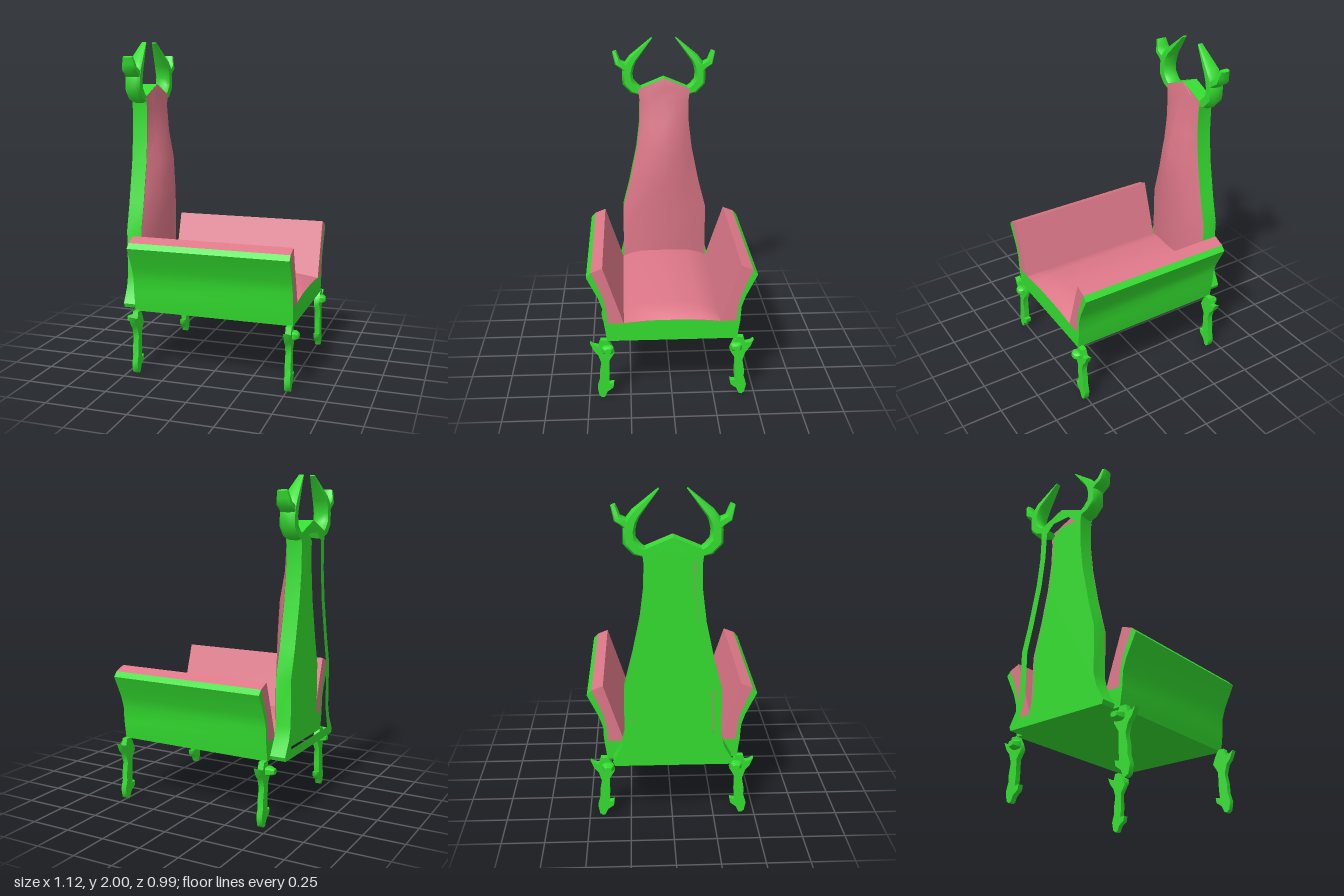
import * as THREE from 'three';
import { toCreasedNormals } from 'three/addons/utils/BufferGeometryUtils.js';

const green = new THREE.MeshStandardMaterial({ color: 0x33dd2f });
const pink = new THREE.MeshStandardMaterial({ color: 0xdd7788 });

function add(group, name, geometry, material, crease = 0.7) {
  const mesh = new THREE.Mesh(toCreasedNormals(geometry, crease), material);
  mesh.name = name;
  group.add(mesh);
}

// Extrudes a [z, y] outline along x from x0 to x1; side mirrors it in z.
function slab(outline, x0, x1, side = 1, hole = null) {
  const toPoints = pts => pts.map(([z, y]) => new THREE.Vector2(-z * side, y));
  const shape = new THREE.Shape(toPoints(outline));
  if (hole) shape.holes.push(new THREE.Path(toPoints(hole)));
  const geo = new THREE.ExtrudeGeometry(shape, { depth: x1 - x0, bevelEnabled: false });
  return geo.rotateY(Math.PI / 2).translate(x0, 0, 0);
}

// Skins closed rings of [x, y, z] points, caps both ends and faces them outward.
function loft(rings) {
  const n = rings[0].length, last = (rings.length - 1) * n;
  const pts = rings.flat().map(p => new THREE.Vector3(...p));
  const index = [];
  for (let r = 0; r < rings.length - 1; r++) {
    for (let i = 0; i < n; i++) {
      const a = r * n + i, b = r * n + (i + 1) % n;
      index.push(a, b, a + n, b, b + n, a + n);
    }
  }
  for (const start of [0, last]) {
    const centre = new THREE.Vector3();
    for (let i = 0; i < n; i++) centre.addScaledVector(pts[start + i], 1 / n);
    const c = pts.push(centre) - 1;
    for (let i = 0; i < n; i++) {
      const a = start + i, b = start + (i + 1) % n;
      index.push(c, ...(start === 0 ? [b, a] : [a, b]));
    }
  }
  let volume = 0;
  for (let i = 0; i < index.length; i += 3) {
    const [a, b, c] = [0, 1, 2].map(k => pts[index[i + k]]);
    volume += a.dot(b.clone().cross(c));
  }
  if (volume < 0) index.reverse();
  const geo = new THREE.BufferGeometry().setFromPoints(pts);
  geo.setIndex(index);
  return geo;
}

// Tapering branch in the zy plane: rows of [z, y, half width, half depth in x].
function branch(rows, x, side) {
  return loft(rows.map(([z, y, w, d], i) => {
    const p = rows[Math.max(i - 1, 0)], q = rows[Math.min(i + 1, rows.length - 1)];
    const len = Math.hypot(q[0] - p[0], q[1] - p[1]);
    const nz = -(q[1] - p[1]) / len, ny = (q[0] - p[0]) / len;
    return [[1, 0.5], [0.6, 1], [-0.6, 1], [-1, 0.5], [-1, -0.5], [-0.6, -1], [0.6, -1], [1, -0.5]]
      .map(([a, b]) => [x + b * d, y + a * w * ny, side * (z + a * w * nz)]);
  }));
}

// Joins a half outline to its mirror image.
const mirrored = half => [...half, ...half.map(([z, y]) => [-z, y]).reverse()];

export function createModel() {
  const model = new THREE.Group();
  model.name = 'armchair';
  const backX = -0.56, seatX = -0.465, frontX = 0.525;

  // Seat frame with flared sides
  add(model, 'seatFrame', slab(mirrored([
    [0.385, 0.385], [0.402, 0.5], [0.407, 0.59], [0.43, 0.66], [0.497, 0.796], [0.47, 0.826],
    [0.405, 0.67], [0.387, 0.59], [0.38, 0.5], [0.28, 0.5], [0.1, 0.515],
  ]), seatX, frontX), green);

  // Domed seat cushion, rolling down at the front edge
  const dome = [[-0.285, 0], [-0.24, 0.4], [-0.16, 0.83], [0, 1], [0.16, 0.83], [0.24, 0.4], [0.285, 0]];
  add(model, 'seatCushion', loft([[seatX, 0.07], [0.38, 0.07], [0.46, 0.058], [frontX, 0.016]].map(([x, h]) => [
    ...dome.map(([z, k]) => [x, 0.5 + h * k, z]), [x, 0.49, 0.285], [x, 0.49, -0.285],
  ])), pink, 0.9);

  // Back frame with a recessed rear panel
  const outline = [
    [0.34, 0.385], [0.35, 0.41], [0.3, 0.5], [0.28, 0.58], [0.28, 0.86], [0.238, 1.02],
    [0.185, 1.27], [0.163, 1.45], [0.16, 1.6], [0.17, 1.675], [0, 1.745],
  ];
  const inner = [
    [0.27, 0.44], [0.235, 0.58], [0.235, 0.85], [0.195, 1.01],
    [0.142, 1.26], [0.12, 1.45], [0.115, 1.62], [0.06, 1.67],
  ];
  const ring = [...outline, ...outline.slice(0, -1).map(([z, y]) => [-z, y]).reverse()];
  add(model, 'backFrame', slab(ring, backX, seatX, 1, mirrored(inner)), green);
  add(model, 'backPanel', slab(mirrored(inner), -0.5, seatX, 1), green);

  // Bulging back cushion: [y, half width, bulge]
  const sections = [
    [0.5, 0.28, 0.06], [0.68, 0.28, 0.07], [0.86, 0.28, 0.077], [1.07, 0.227, 0.092], [1.28, 0.184, 0.092],
    [1.45, 0.163, 0.055], [1.6, 0.16, 0.018], [1.675, 0.17, 0.008], [1.745, 0.004, 0.002],
  ];
  add(model, 'backCushion', loft(sections.map(([y, w, b]) =>
    [[-1, 0], [-0.6, 0.67], [0, 1], [0.6, 0.67], [1, 0]].map(([k, f]) => [seatX + 0.002 + b * f, y, w * k])
  )), pink, 0.6);

  const leg = [
    [0.487, 0.37], [0.465, 0.32], [0.44, 0.29], [0.423, 0.235], [0.434, 0.17], [0.434, 0.12],
    [0.45, 0.066], [0.44, 0.013], [0.423, 0], [0.407, 0.003], [0.39, 0.04], [0.355, 0.066],
    [0.35, 0.098], [0.38, 0.093], [0.376, 0.145], [0.376, 0.25], [0.344, 0.304], [0.36, 0.347],
    [0.385, 0.39], [0.425, 0.39], [0.437, 0.35], [0.465, 0.355],
  ];

  for (const side of [1, -1]) {
    const label = side > 0 ? 'left' : 'right';

    // Slanted padded arm
    add(model, label + 'ArmPad', slab([
      [0.47, 0.826], [0.402, 0.853], [0.285, 0.5], [0.38, 0.5], [0.387, 0.59], [0.405, 0.67],
    ], seatX, frontX, side), pink);

    // Horn with a side prong
    const hornX = -0.513;
    add(model, label + 'Horn', branch([
      [0.14, 1.65, 0.02, 0.047], [0.195, 1.675, 0.035, 0.047], [0.235, 1.72, 0.038, 0.047],
      [0.237, 1.78, 0.034, 0.047], [0.225, 1.83, 0.033, 0.047], [0.2, 1.87, 0.027, 0.044],
      [0.077, 2.0, 0.004, 0.015],
    ], hornX, side), green, 0.9);
    add(model, label + 'HornProng', branch([
      [0.225, 1.79, 0.028, 0.045], [0.265, 1.825, 0.024, 0.045], [0.3, 1.845, 0.022, 0.044],
      [0.307, 1.875, 0.018, 0.038], [0.32, 1.915, 0.014, 0.03],
    ], hornX, side), green, 0.9);

    // Carved legs, each with a tapered knob on its outer face
    for (const [end, x, dir] of [['Front', frontX, 1], ['Back', seatX, -1]]) {
      const x0 = dir > 0 ? x - 0.035 : x;
      add(model, label + end + 'Leg', slab(leg, x0, x0 + 0.035, side), green, 0.9);
      const knob = [[0, 0.034, 0.025], [0.016, 0.034, 0.025], [dir > 0 ? 0.035 : 0.05, 0.018, 0.015]];
      add(model, label + end + 'LegKnob', loft(knob.map(([d, hz, hy]) =>
        [[-1, -0.6], [-0.6, -1], [0.6, -1], [1, -0.6], [1, 0.6], [0.6, 1], [-0.6, 1], [-1, 0.6]]
          .map(([a, b]) => [x + dir * d, 0.332 + hy * b, side * 0.382 + hz * a])
      )), green);
    }
  }
  return model;
}
